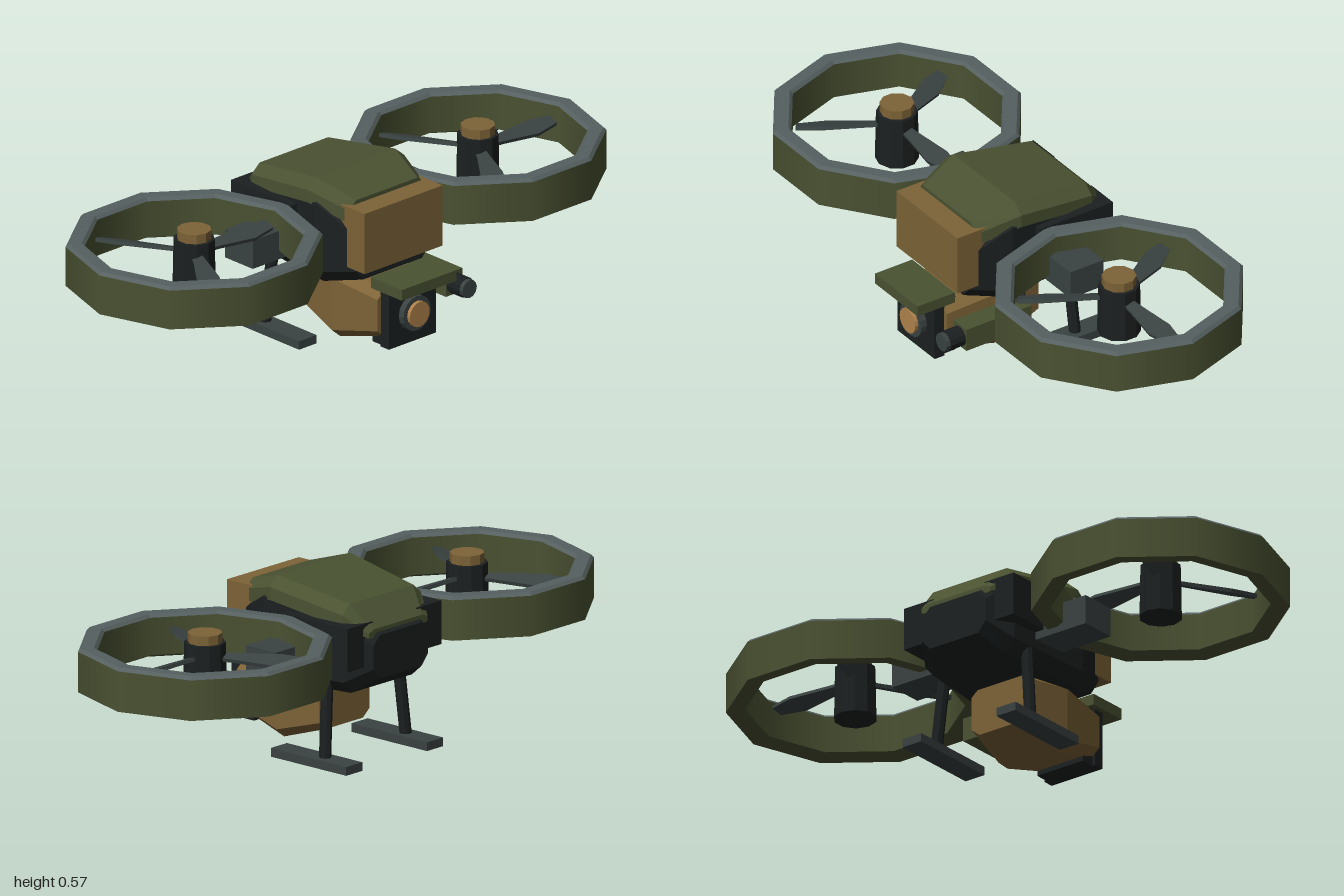
import * as THREE from 'three';

const mat = (color, flat = true) => new THREE.MeshStandardMaterial({ color, flatShading: flat });
const green = mat(0x4a5232), tan = mat(0x7d6337), dark = mat(0x1c2020), grey = mat(0x3a4242);
const rimGrey = mat(0x566060), lensTan = mat(0xb0824a);
const ringGreen = mat(0x4a5232, false);

function add(parent, name, geometry, material, x = 0, y = 0, z = 0) {
  const mesh = new THREE.Mesh(geometry, material);
  mesh.name = name;
  mesh.position.set(x, y, z);
  parent.add(mesh);
  return mesh;
}

// box given by its minimum and maximum on each axis
function box(parent, name, material, [x0, x1], [y0, y1], [z0, z1]) {
  return add(parent, name, new THREE.BoxGeometry(x1 - x0, y1 - y0, z1 - z0), material,
    (x0 + x1) / 2, (y0 + y1) / 2, (z0 + z1) / 2);
}

// cylinder lying along z
function barrel(parent, name, material, radius, x, y, z0, z1, sides = 12) {
  const g = new THREE.CylinderGeometry(radius, radius, z1 - z0, sides).rotateX(Math.PI / 2);
  return add(parent, name, g, material, x, y, (z0 + z1) / 2);
}

// faceted body through chamfered sections [z, halfWidth, bottom, top, chamferX, chamferBottom, chamferTop], front to back
function loft(sections) {
  const rings = sections.map(([z, w, b, t, cx, cb, ct]) => [
    [w, b + cb], [w, t - ct], [w - cx, t], [cx - w, t],
    [-w, t - ct], [-w, b + cb], [cx - w, b], [w - cx, b],
  ].map(([x, y]) => [x, y, z]));
  const p = [];
  const tri = (...v) => v.forEach((q) => p.push(...q));
  for (let i = 0; i < rings.length - 1; i++) {
    const a = rings[i], b = rings[i + 1];
    for (let j = 0; j < 8; j++) {
      const k = (j + 1) % 8;
      tri(a[j], b[j], a[k]);
      tri(a[k], b[j], b[k]);
    }
  }
  const f = rings[0], r = rings[rings.length - 1];
  for (let j = 1; j < 7; j++) {
    tri(f[0], f[j], f[j + 1]);
    tri(r[0], r[j + 1], r[j]);
  }
  const g = new THREE.BufferGeometry();
  g.setAttribute('position', new THREE.Float32BufferAttribute(p, 3));
  g.computeVertexNormals();
  return g;
}

// ten-sided wall turned from a few [radius, y] points, with corners on the x axis
function turned(points) {
  return new THREE.LatheGeometry(points.map(([r, y]) => new THREE.Vector2(r, y)), 10, Math.PI / 2);
}

function bladeGeometry() {
  const s = new THREE.Shape();
  [[0.04, -0.018], [0.09, -0.022], [0.22, -0.042], [0.31, -0.026],
    [0.315, 0.012], [0.24, 0.026], [0.09, 0.016], [0.04, 0.014]]
    .forEach(([x, y], i) => (i ? s.lineTo(x, y) : s.moveTo(x, y)));
  const g = new THREE.ExtrudeGeometry(s, { depth: 0.012, bevelEnabled: false });
  return g.translate(0, 0, -0.006).rotateX(-Math.PI / 2 + 0.3);
}

function rotor(x) {
  const g = new THREE.Group();
  g.name = 'rotor';
  g.position.set(x, 0, -0.02);
  // duct: green walls and a grey top rim
  add(g, 'ductOuterWall', turned([[0.4, 0.325], [0.4, 0.455]]), ringGreen);
  add(g, 'ductInnerWall', turned([[0.34, 0.455], [0.34, 0.335]]), ringGreen);
  add(g, 'ductUnderside', turned([[0.34, 0.335], [0.36, 0.325], [0.4, 0.325]]), ringGreen);
  add(g, 'ductRim', turned([[0.4, 0.455], [0.39, 0.465], [0.35, 0.465], [0.34, 0.455]]), rimGrey);
  // motor and cap
  add(g, 'motor', new THREE.CylinderGeometry(0.065, 0.068, 0.17, 10), dark, 0, 0.38, 0);
  add(g, 'motorCap', new THREE.CylinderGeometry(0.054, 0.054, 0.035, 10), tan, 0, 0.478, 0);
  const blade = bladeGeometry();
  for (let i = 0; i < 3; i++) {
    add(g, 'blade', blade, grey, 0, 0.42, 0).rotation.y = (i * 2 * Math.PI) / 3;
  }
  return g;
}

export function createModel() {
  const model = new THREE.Group();
  model.name = 'drone';

  // hull and its armoured top
  add(model, 'lowerHull', loft([
    [0.235, 0.155, 0.265, 0.45, 0.03, 0.035, 0.03],
    [0.1, 0.2, 0.23, 0.525, 0.035, 0.04, 0.025],
    [-0.21, 0.175, 0.238, 0.49, 0.035, 0.04, 0.03],
    [-0.29, 0.125, 0.29, 0.43, 0.03, 0.035, 0.03],
  ]), dark);
  add(model, 'topShell', loft([
    [0.21, 0.16, 0.45, 0.525, 0.03, 0.005, 0.028],
    [0.07, 0.203, 0.49, 0.568, 0.037, 0.005, 0.031],
    [-0.21, 0.18, 0.45, 0.525, 0.035, 0.005, 0.03],
    [-0.28, 0.135, 0.42, 0.45, 0.025, 0.005, 0.01],
  ]), green);
  box(model, 'frontPack', tan, [-0.165, 0.165], [0.31, 0.512], [0.1, 0.285]);

  // sensor pod under the nose
  box(model, 'podNeck', grey, [-0.07, 0.07], [0.2, 0.27], [0.02, 0.15]);
  add(model, 'sensorPod', loft([
    [0.29, 0.115, 0.08, 0.235, 0.03, 0.025, 0.025],
    [0.105, 0.135, 0.028, 0.262, 0.035, 0.03, 0.03],
    [-0.055, 0.115, 0.08, 0.24, 0.03, 0.025, 0.025],
  ]), tan);
  box(model, 'sensorFace', dark, [-0.1, 0.1], [0.05, 0.24], [0.288, 0.325]);
  box(model, 'faceLowerFlange', dark, [-0.09, 0.09], [0.05, 0.08], [0.24, 0.3]);
  box(model, 'faceUpperFlange', dark, [-0.09, 0.09], [0.22, 0.245], [0.24, 0.3]);
  box(model, 'visor', green, [-0.115, 0.115], [0.242, 0.278], [0.26, 0.4]);
  barrel(model, 'lensRing', grey, 0.058, 0, 0.15, 0.32, 0.346, 16);
  barrel(model, 'lens', lensTan, 0.042, 0, 0.15, 0.34, 0.358, 16);

  // side launcher on the left
  box(model, 'launcherBody', green, [0.165, 0.235], [0.142, 0.219], [0.055, 0.3]);
  barrel(model, 'launcherBarrel', dark, 0.033, 0.2, 0.18, 0.29, 0.355);
  barrel(model, 'launcherMuzzle', grey, 0.03, 0.2, 0.18, 0.35, 0.37);
  add(model, 'launcherMount', new THREE.CylinderGeometry(0.025, 0.027, 0.11, 10), grey, 0.175, 0.255, 0.068);

  for (const s of [-1, 1]) {
    // rotor and the arm carrying it
    model.add(rotor(s * 0.6));
    const span = (a, b) => (s > 0 ? [a, b] : [-b, -a]);
    box(model, 'sidePanel', dark, span(0.1, 0.215), [0.33, 0.47], [-0.265, 0.01]);
    box(model, 'rotorArm', grey, span(0.15, 0.38), [0.305, 0.4], [-0.115, 0.01]);

    // leg and skid
    const top = new THREE.Vector3(s * 0.16, 0.29, -0.13), foot = new THREE.Vector3(s * 0.185, 0.02, -0.143);
    const dir = top.clone().sub(foot);
    const mid = top.clone().add(foot).multiplyScalar(0.5);
    const leg = add(model, 'leg', new THREE.CylinderGeometry(0.019, 0.019, dir.length(), 8), dark, mid.x, mid.y, mid.z);
    leg.quaternion.setFromUnitVectors(new THREE.Vector3(0, 1, 0), dir.normalize());
    box(model, 'skid', grey, span(0.148, 0.222), [0, 0.028], [-0.265, 0.05]);
  }
  return model;
}
